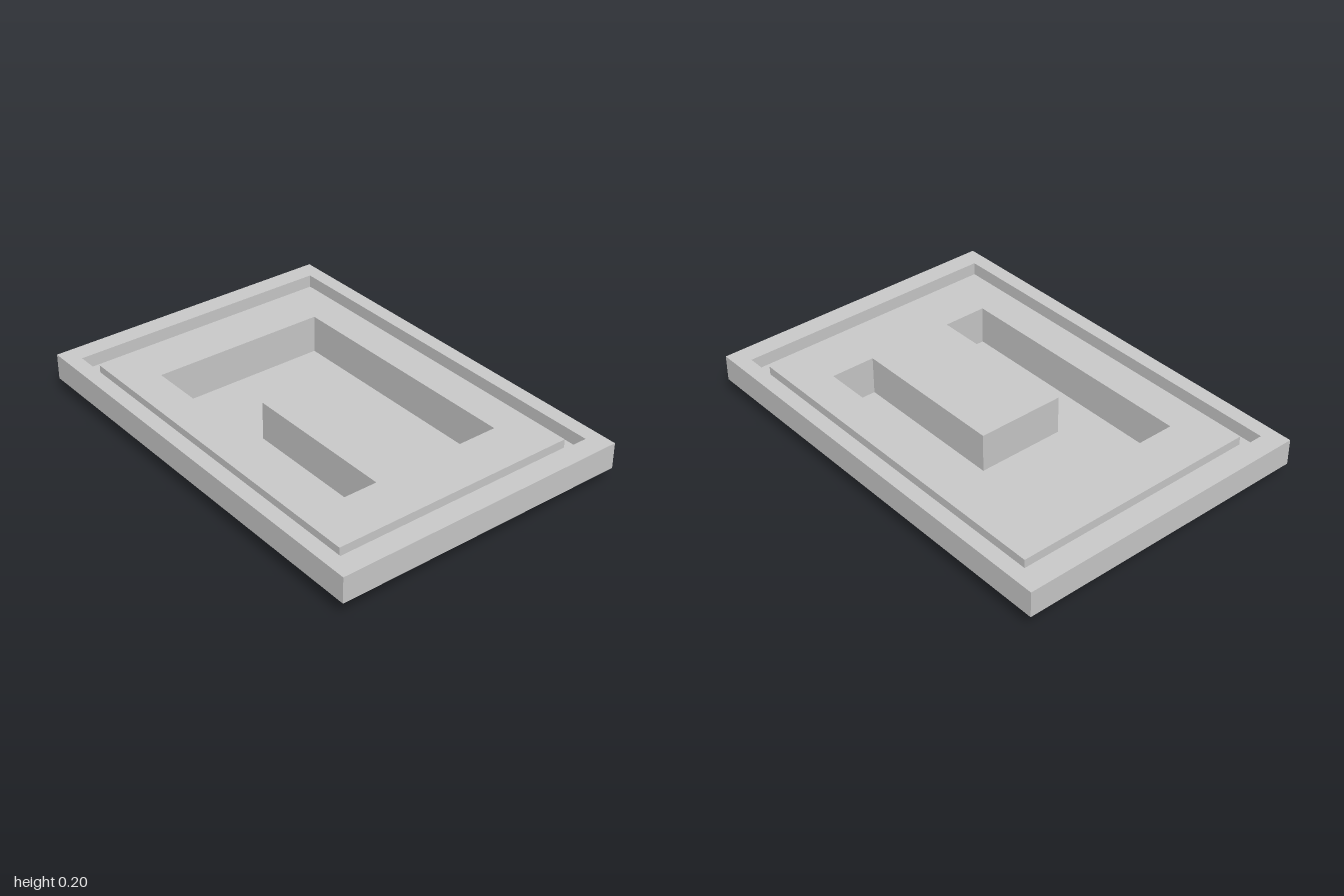
import * as THREE from 'three';

const material = new THREE.MeshStandardMaterial({ color: 0xcccccc, side: THREE.DoubleSide, flatShading: true });

// Outlines are counter-clockwise [x, -z] points seen from above.
const rect = (w, d) => [[-w, -d], [w, -d], [w, d], [-w, d]];
const toVectors = (outline) => outline.map(([x, y]) => new THREE.Vector2(x, y));

// Level sheet at height y, optionally with a hole.
function sheet(name, outline, y, hole) {
  const shape = new THREE.Shape(toVectors(outline));
  if (hole) shape.holes.push(new THREE.Path(toVectors(hole)));
  const geometry = new THREE.ShapeGeometry(shape).rotateX(-Math.PI / 2).translate(0, y, 0);
  const mesh = new THREE.Mesh(geometry, material);
  mesh.name = name;
  return mesh;
}

// Upright wall along an outline: rising (y0 < y1) faces outward, falling faces inward.
function wall(name, outline, y0, y1) {
  const positions = [];
  outline.forEach(([ax, ay], i) => {
    const [bx, by] = outline[(i + 1) % outline.length];
    positions.push(ax, y0, -ay, bx, y0, -by, bx, y1, -by);
    positions.push(ax, y0, -ay, bx, y1, -by, ax, y1, -ay);
  });
  const geometry = new THREE.BufferGeometry();
  geometry.setAttribute('position', new THREE.Float32BufferAttribute(positions, 3));
  geometry.computeVertexNormals();
  const mesh = new THREE.Mesh(geometry, material);
  mesh.name = name;
  return mesh;
}

export function createModel() {
  const group = new THREE.Group();
  group.name = 'tray';

  const rimY = 0.2, skirtY = 0.08, grooveY = 0.14, panelY = 0.18;
  const outer = rect(0.7, 1);
  const grooveOuter = rect(0.63, 0.905);
  const grooveInner = rect(0.585, 0.835);
  const channel = [
    [-0.42, -0.597], [-0.21, -0.597], [-0.21, 0.15], [0.207, 0.15],
    [0.207, -0.597], [0.418, -0.597], [0.418, 0.6], [-0.42, 0.6],
  ];

  group.add(
    // Raised border, open underneath
    wall('skirt', outer, skirtY, rimY),
    sheet('rim', outer, rimY, grooveOuter),
    // Shallow groove around the panel
    wall('grooveOuterWall', grooveOuter, rimY, grooveY),
    sheet('grooveFloor', grooveOuter, grooveY, grooveInner),
    wall('grooveInnerWall', grooveInner, grooveY, panelY),
    // Panel with the deep U-shaped channel
    sheet('panel', grooveInner, panelY, channel),
    wall('channelWall', channel, panelY, 0),
    sheet('channelFloor', channel, 0),
  );
  return group;
}
